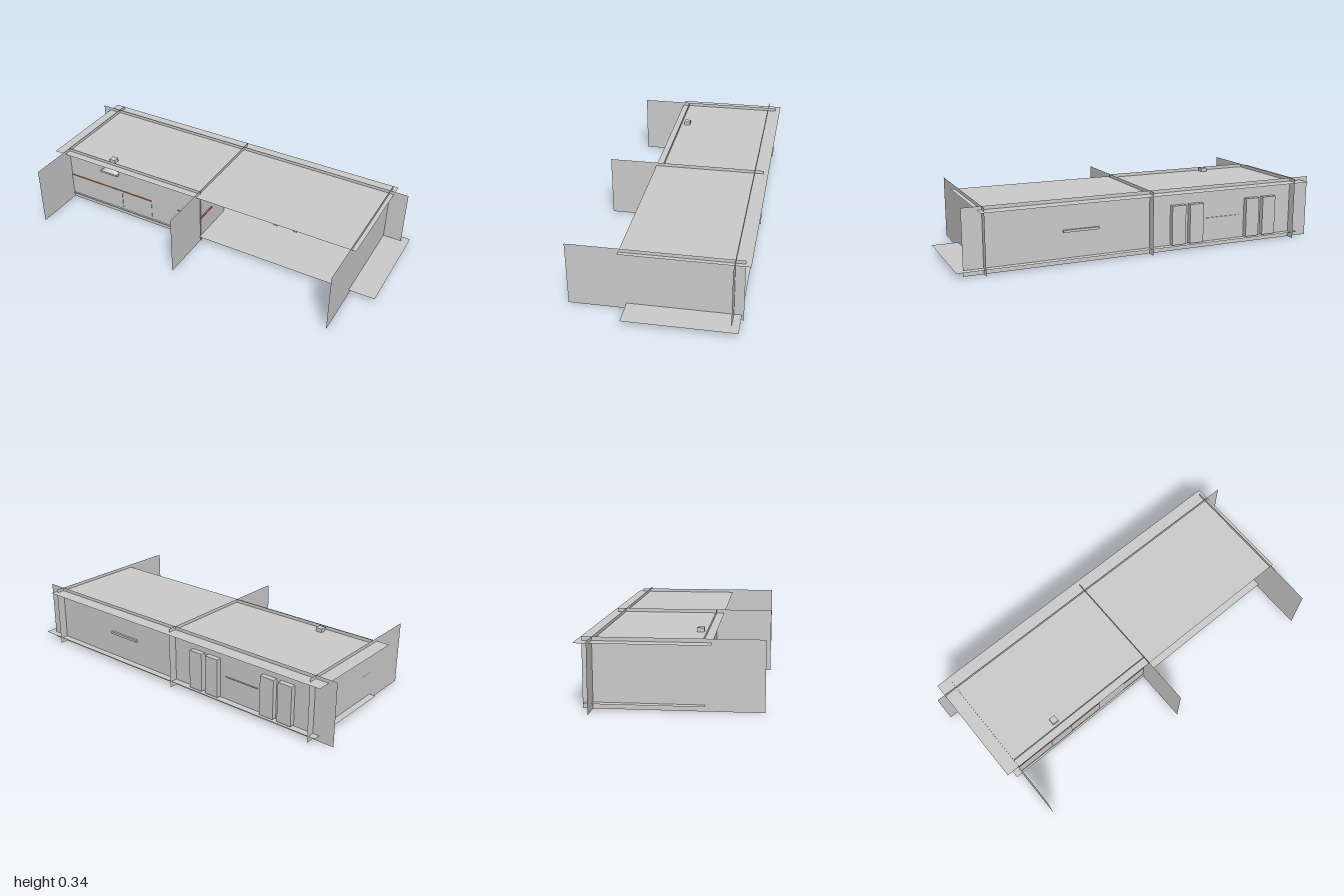
import * as THREE from 'three';

const grey = new THREE.MeshStandardMaterial({ color: 0xcccccc, side: THREE.DoubleSide });
const brown = new THREE.MeshStandardMaterial({ color: 0xb5714a, side: THREE.DoubleSide });

export function createModel() {
  const model = new THREE.Group();

  // Box given by its min and max on each axis
  function box(name, x0, x1, y0, y1, z0, z1, parent = model, mat = grey) {
    const mesh = new THREE.Mesh(new THREE.BoxGeometry(x1 - x0, y1 - y0, z1 - z0), mat);
    mesh.position.set((x0 + x1) / 2, (y0 + y1) / 2, (z0 + z1) / 2);
    mesh.name = name;
    parent.add(mesh);
    return mesh;
  }

  // Thin rectangular sheets: facing z, facing x and horizontal
  function sheet(name, w, h, x, y, z, rx = 0, ry = 0) {
    const mesh = new THREE.Mesh(new THREE.PlaneGeometry(w, h), grey);
    mesh.position.set(x, y, z);
    mesh.rotation.set(rx, ry, 0);
    mesh.name = name;
    model.add(mesh);
  }
  const wallZ = (name, x0, x1, z) => sheet(name, x1 - x0, 0.333, (x0 + x1) / 2, 0.1665, z);
  const wallX = (name, x, z0, z1, y0 = 0, y1 = 0.333) =>
    sheet(name, z1 - z0, y1 - y0, x, (y0 + y1) / 2, (z0 + z1) / 2, 0, Math.PI / 2);
  const level = (name, x0, x1, z0, z1, y) =>
    sheet(name, x1 - x0, z1 - z0, (x0 + x1) / 2, y, (z0 + z1) / 2, -Math.PI / 2);

  // Shell: crossing sheets that run past each other
  level('roof', -0.955, 0.882, -0.436, 0.18, 0.315);
  level('floor', -0.92, 1.0, -0.4, 0.15, 0.03);
  wallZ('backWall', -1.0, 0.96, -0.363);
  wallZ('frontWall', -0.885, -0.015, 0.14);
  wallX('leftEndWall', 0.86, -0.41, 0.436);
  wallX('rightEndWall', -0.885, -0.41, 0.42);

  // Middle wall with a doorway near the back
  wallX('middleWallFront', -0.02, -0.13, 0.436);
  wallX('middleWallBack', -0.02, -0.41, -0.27);
  wallX('middleWallHeader', -0.02, -0.27, -0.13, 0.26, 0.333);

  // Kitchen run along the front wall
  const kitchen = new THREE.Group();
  kitchen.name = 'kitchen';
  model.add(kitchen);
  for (const [x0, x1] of [[-0.885, -0.665], [-0.53, -0.335], [-0.165, -0.022]])
    box('baseCabinet', x0, x1, 0.045, 0.152, 0.03, 0.142, kitchen);
  for (const [x0, x1] of [[-0.885, -0.335], [-0.165, -0.012]])
    box('countertop', x0, x1, 0.152, 0.158, 0.02, 0.144, kitchen, brown);
  box('cooker', -0.665, -0.53, 0.045, 0.156, 0.02, 0.145, kitchen);
  box('fridge', -0.335, -0.165, 0.012, 0.2, 0.03, 0.135, kitchen);

  // Extractor hood: wide rim, tapering top and flue
  box('hoodRim', -0.655, -0.545, 0.262, 0.272, 0.045, 0.165, kitchen);
  const taper = new THREE.CylinderGeometry(0.055, 0.073, 0.013, 4);
  taper.rotateY(Math.PI / 4);
  const cap = new THREE.Mesh(taper, grey);
  cap.name = 'hoodTop';
  cap.position.set(-0.6, 0.2785, 0.105);
  kitchen.add(cap);
  box('flue', -0.617, -0.583, 0.285, 0.335, 0.088, 0.122, kitchen);

  // Tall cupboards and a shelf set into the back wall
  for (const x of [-0.18, -0.285, -0.63, -0.735])
    box('tallCupboard', x - 0.04, x + 0.04, 0.035, 0.245, -0.39, -0.28);
  box('shelf', -0.56, -0.36, 0.153, 0.157, -0.368, -0.28);

  // Dining table
  const table = new THREE.Group();
  table.name = 'diningTable';
  model.add(table);
  box('tableTop', 0.265, 0.455, 0.163, 0.175, -0.375, -0.08, table);
  for (const x of [0.3, 0.42])
    for (const z of [-0.29, -0.16])
      box('tableLeg', x - 0.011, x + 0.011, 0.027, 0.163, z - 0.011, z + 0.011, table);

  // Chairs facing each other across the table, backs outward
  for (const s of [-1, 1]) {
    const chair = new THREE.Group();
    chair.name = s < 0 ? 'rightChair' : 'leftChair';
    chair.position.set(0.36 + s * 0.148, 0, -0.225);
    model.add(chair);
    box('seat', -0.033, 0.033, 0.1, 0.115, -0.033, 0.033, chair);
    for (const x of [-0.017, 0.017])
      for (const z of [-0.022, 0.022])
        box('chairLeg', x - 0.007, x + 0.007, 0.026, 0.1, z - 0.007, z + 0.007, chair);
    const back = box('chairBack', -0.002, 0.002, 0.112, 0.202, -0.033, 0.033, chair);
    back.position.x = s * 0.033;
    back.rotation.z = -s * 0.05;
  }
  return model;
}
